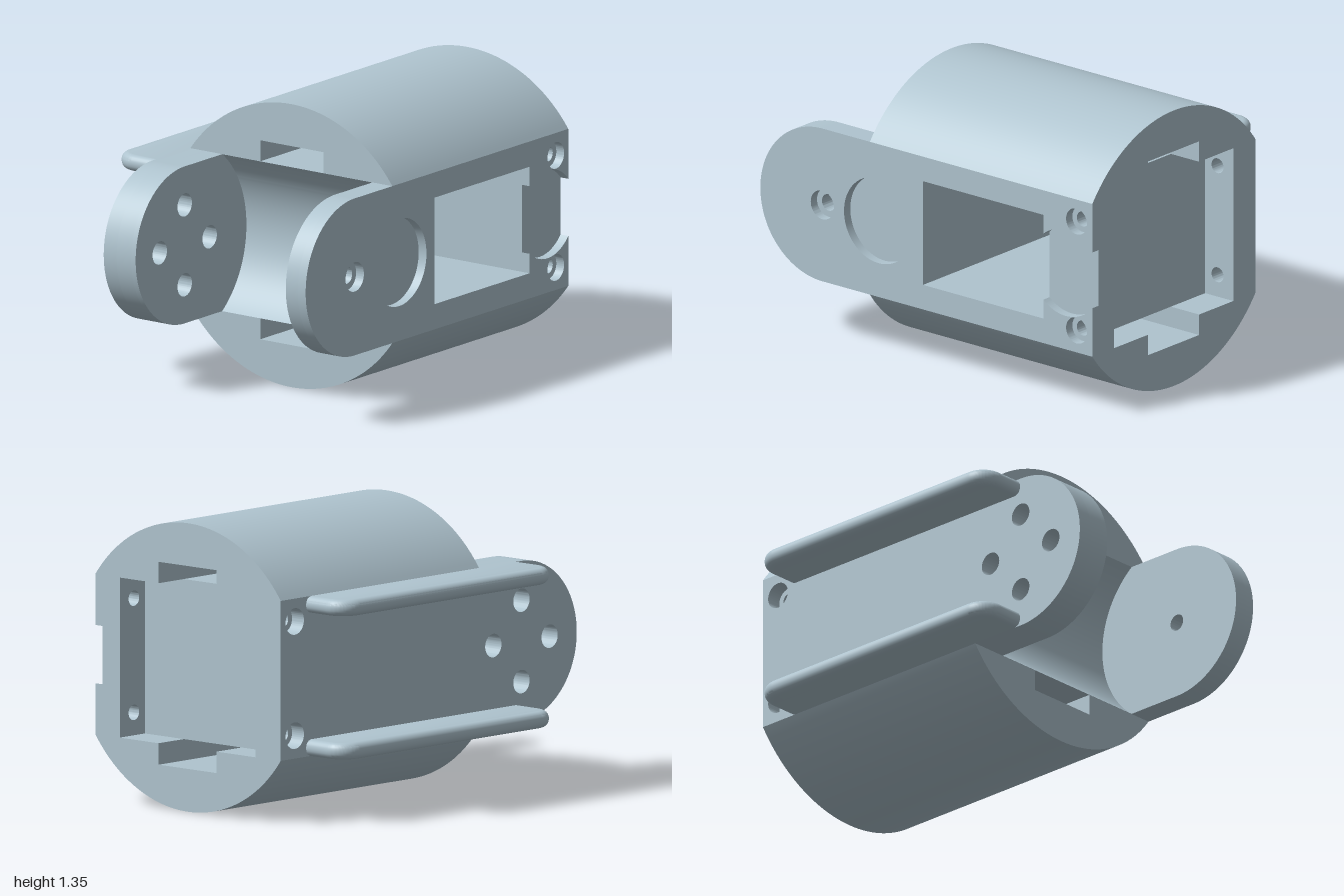
import * as THREE from 'three';
import { toCreasedNormals } from 'three/addons/utils/BufferGeometryUtils.js';

const MID = 0.6735, LOW = 0.3, HIGH = 1.047; // centre line and plate edges
const HALF = (HIGH - LOW) / 2;
const PIVOT = -1 + HALF;                     // centre of the rounded tabs
const SCREWS = [[0.905, 0.94], [0.905, 0.407]];
const WINDOW = { x0: -0.02, x1: 0.705, y0: 0.42, y1: 0.927 };

export function createModel() {
  const group = new THREE.Group();
  const shell = new THREE.MeshStandardMaterial({ color: 0xafc4cf });
  shell.name = 'pale blue grey';

  function add(name, geometry) {
    const mesh = new THREE.Mesh(toCreasedNormals(geometry, 0.5), shell);
    mesh.name = name;
    group.add(mesh);
    return mesh;
  }

  // Extrudes an upright shape from z0 to z1
  function slab(name, shape, z0, z1) {
    const g = new THREE.ExtrudeGeometry(shape, { depth: z1 - z0, bevelEnabled: false, curveSegments: 40 });
    return add(name, g.translate(0, 0, z0));
  }

  function drill(shape, x, y, r) {
    shape.holes.push(new THREE.Path().absarc(x, y, r, 0, Math.PI * 2, true));
  }

  function rectangle(Type, x0, y0, x1, y1) {
    const p = new Type();
    p.moveTo(x0, y0).lineTo(x1, y0).lineTo(x1, y1).lineTo(x0, y1).closePath();
    return p;
  }

  const cutWindow = (shape) =>
    shape.holes.push(rectangle(THREE.Path, WINDOW.x0, WINDOW.y0, WINDOW.x1, WINDOW.y1));

  // Long plate with a round left end
  function plate(right) {
    const s = new THREE.Shape();
    s.moveTo(PIVOT, LOW).lineTo(right, LOW).lineTo(right, HIGH).lineTo(PIVOT, HIGH);
    s.absarc(PIVOT, MID, HALF, Math.PI / 2, Math.PI * 1.5, false);
    return s;
  }

  // Front skin: the window opens into a round recess that runs off the right edge
  const r = 0.21, cx = 0.84;
  const edge = Math.acos((1 - cx) / r), inner = Math.acos((WINDOW.x1 - cx) / r);
  const skin = new THREE.Shape();
  skin.moveTo(PIVOT, LOW).lineTo(1, LOW).lineTo(1, MID - r * Math.sin(edge));
  skin.absarc(cx, MID, r, -edge, -inner, true);
  skin.lineTo(WINDOW.x1, WINDOW.y0).lineTo(WINDOW.x0, WINDOW.y0);
  skin.lineTo(WINDOW.x0, WINDOW.y1).lineTo(WINDOW.x1, WINDOW.y1);
  skin.lineTo(WINDOW.x1, MID + r * Math.sin(inner));
  skin.absarc(cx, MID, r, inner, edge, true);
  skin.lineTo(1, HIGH).lineTo(PIVOT, HIGH);
  skin.absarc(PIVOT, MID, HALF, Math.PI / 2, Math.PI * 1.5, false);
  drill(skin, -0.288, MID, 0.208);
  drill(skin, PIVOT, MID, 0.07);
  SCREWS.forEach(([x, y]) => drill(skin, x, y, 0.063));
  slab('frontSkin', skin, 0.66, 0.705);

  // Inner front plate with narrow screw holes
  const front = plate(1);
  cutWindow(front);
  drill(front, PIVOT, MID, 0.04);
  SCREWS.forEach(([x, y]) => drill(front, x, y, 0.036));
  slab('frontPlate', front, 0.59, 0.66);

  const flange = rectangle(THREE.Shape, 0.83, LOW, 1, HIGH);
  SCREWS.forEach(([x, y]) => drill(flange, x, y, 0.036));
  slab('frontFlange', flange, 0.55, 0.59);

  // Core block with a concave left end and the deep window pocket
  const scoop = 0.47, a = Math.asin(HALF / scoop);
  const core = new THREE.Shape();
  core.moveTo(0.83, LOW).lineTo(0.83, HIGH);
  core.lineTo(PIVOT + scoop * Math.cos(a), HIGH);
  core.absarc(PIVOT, MID, scoop, a, -a, true);
  core.closePath();
  cutWindow(core);
  slab('coreBlock', core, -0.28, 0.59);

  // Back plate in three layers: countersinks, screw holes and inner lip
  function backLayer(name, right, screwRadius, z0, z1) {
    const s = plate(right);
    for (let i = 0; i < 4; i++) {
      const t = i * Math.PI / 2;
      drill(s, PIVOT + 0.19 * Math.cos(t), MID + 0.19 * Math.sin(t), 0.055);
    }
    if (screwRadius) SCREWS.forEach(([x, y]) => drill(s, x, y, screwRadius));
    else cutWindow(s);
    slab(name, s, z0, z1);
  }
  backLayer('backSkin', 1, 0.062, -0.465, -0.39);
  backLayer('backPlate', 1, 0.036, -0.39, -0.305);
  backLayer('backLip', 0.83, 0, -0.305, -0.28);

  // Curved caps above and below, each with a slot along its flat side
  const zMid = 0.12, halfChord = 0.585, rise = MID - HALF;
  const R = (halfChord ** 2 + rise ** 2) / (2 * rise);
  const sweep = Math.asin(halfChord / R);
  for (const side of [1, -1]) {
    const cap = new THREE.Shape();
    const at = (z, h) => cap.lineTo(-z, MID + side * (HALF + h));
    cap.moveTo(-0.705, MID + side * HALF);
    at(0.305, 0); at(0.305, 0.1); at(-0.06, 0.1); at(-0.06, 0);
    for (let i = 0; i <= 48; i++) {
      const t = sweep * (1 - i / 24);
      at(zMid - R * Math.sin(t), R * Math.cos(t) - R + rise);
    }
    const g = new THREE.ExtrudeGeometry(cap, { depth: 1.34, bevelEnabled: false });
    add(side > 0 ? 'topCap' : 'bottomCap', g.rotateY(Math.PI / 2).translate(-0.34, 0, 0));
  }

  // Two rounded rails on the back
  const b = 0.036, c = 0.075;
  const x0 = -0.622 + b, x1 = 0.828 - b, far = 0.705 - b;
  const rail = new THREE.Shape();
  rail.moveTo(x0, 0.45).lineTo(x1, 0.45).lineTo(x1, far - c);
  rail.absarc(x1 - c, far - c, c, 0, Math.PI / 2, false);
  rail.lineTo(x0 + c, far);
  rail.absarc(x0 + c, far - c, c, Math.PI / 2, Math.PI, false);
  rail.closePath();
  for (const y of [HIGH - 0.078, LOW]) {
    const g = new THREE.ExtrudeGeometry(rail, {
      depth: 0.078 - 2 * b, bevelSize: b, bevelThickness: b, bevelSegments: 6, curveSegments: 12,
    });
    g.rotateX(-Math.PI / 2).translate(0, y + b, 0);
    add(y > MID ? 'upperRail' : 'lowerRail', g);
  }

  return group;
}
